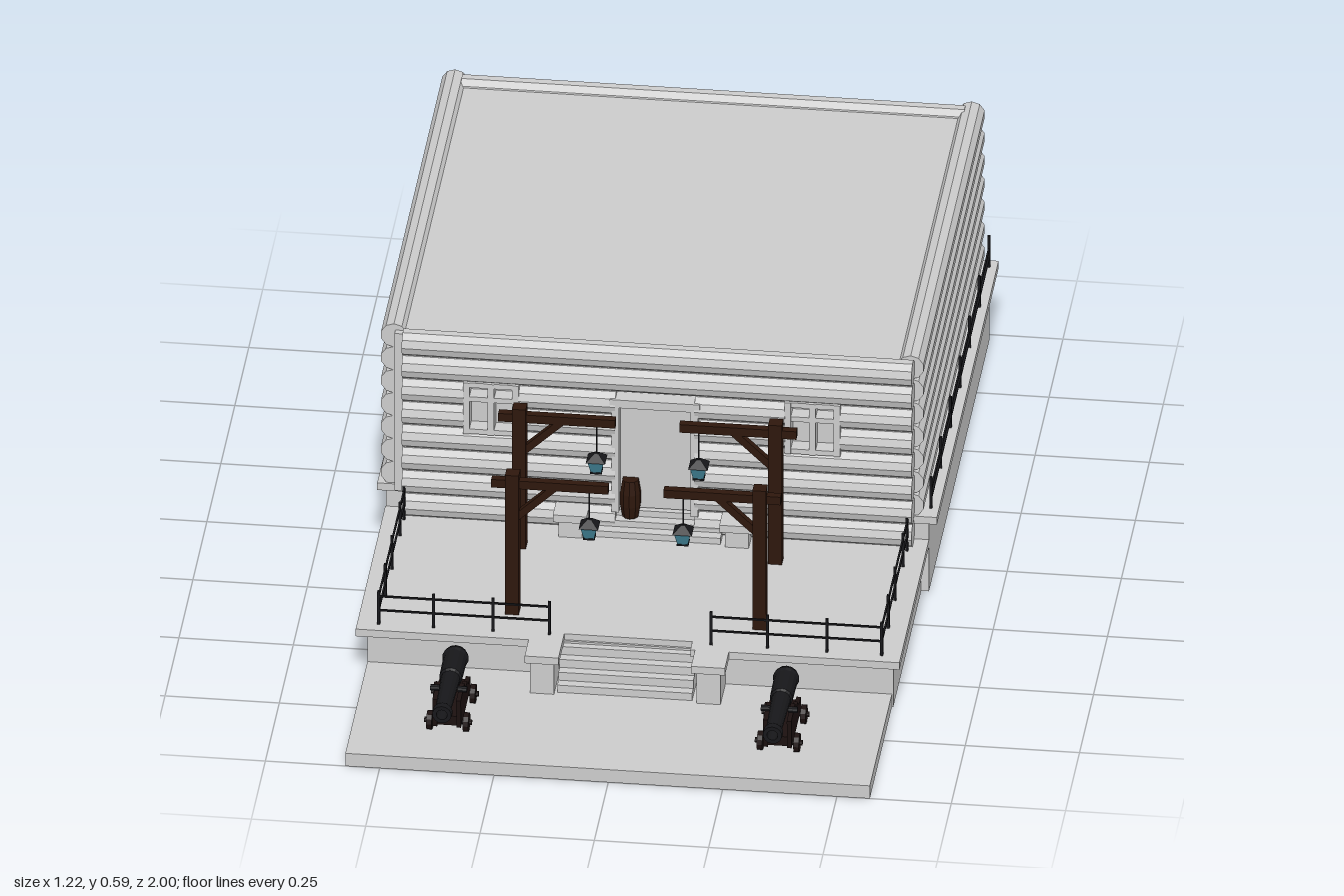
import * as THREE from 'three';

const mat = (color, side = THREE.FrontSide) =>
  new THREE.MeshStandardMaterial({ color, flatShading: true, side });

export function createModel() {
  const model = new THREE.Group();
  const grey = mat(0xcccccc), shell = mat(0xcccccc, THREE.DoubleSide);
  const wood = mat(0x2e170c), iron = mat(0x17171a), carriageWood = mat(0x1c1110), glass = mat(0x3f7f92);

  function add(parent, name, geometry, material, x = 0, y = 0, z = 0) {
    const mesh = new THREE.Mesh(geometry, material);
    mesh.name = name;
    mesh.position.set(x, y, z);
    parent.add(mesh);
    return mesh;
  }
  // box given by its limits on each axis
  function block(parent, name, material, x0, x1, y0, y1, z0, z1) {
    return add(parent, name, new THREE.BoxGeometry(x1 - x0, y1 - y0, z1 - z0), material,
      (x0 + x1) / 2, (y0 + y1) / 2, (z0 + z1) / 2);
  }
  // box without its bottom face, hollow underneath
  function hollow(name, ...limits) {
    const mesh = block(model, name, shell, ...limits);
    const index = Array.from(mesh.geometry.index.array);
    index.splice(18, 6);
    mesh.geometry.setIndex(index);
  }
  function group(parent, name, x = 0, y = 0, z = 0) {
    const g = new THREE.Group();
    g.name = name;
    g.position.set(x, y, z);
    parent.add(g);
    return g;
  }

  // foundations, with overhanging ledges
  hollow('houseBase', -0.595, 0.592, 0, 0.18, -0.978, 0.105);
  block(model, 'houseLedge', grey, -0.614, 0.61, 0.172, 0.19, -0.995, 0.11);
  hollow('porchBase', -0.575, 0.575, 0, 0.115, 0.105, 0.605);
  block(model, 'porchFloor', grey, -0.597, 0.592, 0.112, 0.13, 0.105, 0.6);
  hollow('forecourt', -0.575, 0.572, 0, 0.032, 0.605, 1);
  block(model, 'porchLedge', grey, -0.597, -0.145, 0.112, 0.13, 0.6, 0.635);
  block(model, 'porchLedge', grey, 0.135, 0.592, 0.112, 0.13, 0.6, 0.635);

  // two flights of steps between low cheek walls
  function stairs(name, count, y0, y1, z0, z1) {
    const flight = group(model, name);
    for (let i = 0; i < count; i++) {
      const top = y0 + (y1 - y0) * (i + 1) / (count + 1);
      block(flight, 'step', grey, -0.15, 0.145, y0 - 0.005, top, z0, z1 - (z1 - z0) * i / count);
    }
    for (const s of [-1, 1]) {
      const c = 0.182 * s;
      block(flight, 'cheekWall', grey, c - 0.026, c + 0.026, y0 - 0.03, y1 - 0.018, z0, z1 + 0.01);
      block(flight, 'cheekCap', grey, c - 0.037, c + 0.037, y1 - 0.018, y1, z0, z1 + 0.02);
    }
  }
  stairs('frontSteps', 4, 0.03, 0.13, 0.6, 0.685);
  stairs('doorSteps', 3, 0.13, 0.19, 0.11, 0.18);

  // log walls around a flat-roofed core
  const house = group(model, 'logHouse');
  block(house, 'roofAndCore', grey, -0.575, 0.55, 0.18, 0.575, -0.965, 0.12);
  const radius = 0.0295, pitch = 0.0577;
  function log(axis, from, to, x, y, z) {
    const geo = new THREE.CylinderGeometry(radius, radius, to - from, 10);
    if (axis === 'x') geo.rotateZ(Math.PI / 2); else geo.rotateX(Math.PI / 2);
    const mid = (from + to) / 2;
    add(house, 'log', geo, grey, axis === 'x' ? mid : x, y, axis === 'z' ? mid : z);
  }
  const openings = [[-0.42, -0.3, 0.355, 0.485], [-0.088, 0.085, 0.13, 0.45], [0.283, 0.403, 0.355, 0.485]];
  for (let i = 0; i < 8; i++) {
    const y = 0.561 - i * pitch;
    let start = -0.555;
    for (const [x0, x1, y0, y1] of openings) {
      if (y < y0 || y > y1) continue;
      log('x', start, x0, 0, y, 0.129);
      start = x1;
    }
    log('x', start, 0.56, 0, y, 0.129);
    if (i === 7) continue;
    log('x', -0.56, 0.54, 0, y, -0.965);
    log('z', -0.99, 0.105, -0.578, y, 0);
    log('z', -0.99, 0.105, 0.552, y, 0);
  }

  // window frames with a mullion and crossbar
  for (const [x, y0, y1] of [[-0.36, 0.355, 0.483], [0.343, 0.355, 0.483]]) {
    const win = group(house, 'window');
    for (const dx of [-0.054, 0, 0.054])
      block(win, 'upright', grey, x + dx - 0.007, x + dx + 0.007, y0, y1, 0.11, 0.157);
    for (const y of [y0 + 0.006, 0.442, y1 - 0.006])
      block(win, 'crossbar', grey, x - 0.06, x + 0.06, y - 0.006, y + 0.006, 0.11, 0.155);
  }
  // doorway
  const door = group(house, 'doorway');
  block(door, 'doorPanel', grey, -0.088, 0.085, 0.18, 0.45, 0.11, 0.128);
  block(door, 'lintel', grey, -0.1, 0.097, 0.444, 0.464, 0.11, 0.157);
  for (const x of [-0.088, 0.085]) block(door, 'jamb', grey, x - 0.008, x + 0.008, 0.18, 0.45, 0.11, 0.155);
  const cask = [[0, 0], [0.018, 0], [0.023, 0.03], [0.023, 0.06], [0.018, 0.092], [0, 0.092]];
  add(model, 'cask', new THREE.LatheGeometry(cask.map(p => new THREE.Vector2(...p)), 10), wood, -0.057, 0.163, 0.135);

  // iron railings: posts at given points joined by two rails
  function railing(name, points, floor, height, railHeights) {
    const rail = group(model, name);
    points.forEach(([x, z], i) => {
      block(rail, 'railPost', iron, x - 0.003, x + 0.003, floor, floor + height, z - 0.003, z + 0.003);
      if (!i) return;
      const [px, pz] = points[i - 1];
      for (const h of railHeights)
        block(rail, 'rail', iron, Math.min(x, px) - 0.002, Math.max(x, px) + 0.002,
          floor + h - 0.002, floor + h + 0.002, Math.min(z, pz) - 0.002, Math.max(z, pz) + 0.002);
    });
  }
  for (const s of [-1, 1]) {
    const x = s * 0.55;
    railing('porchRailing', [[x, 0.157], [x, 0.225], [x, 0.37], [x, 0.49], [x, 0.607],
      [s * 0.43, 0.607], [s * 0.3, 0.607], [s * 0.177, 0.607]], 0.13, 0.083, [0.07, 0.035]);
  }
  const sidePosts = Array.from({ length: 7 }, (_, i) => [0.592, 0.07 - i * 0.173]);
  railing('sideRailing', sidePosts, 0.19, 0.078, [0.045, 0.022]);

  // lantern posts; s is the direction the arm reaches
  function lanternPost(x, z, s) {
    const post = group(model, 'lanternPost', x, 0.13, z);
    block(post, 'post', wood, -0.015, 0.015, 0, 0.35, -0.015, 0.015);
    const arm = block(post, 'arm', wood, -0.128, 0.128, 0.314, 0.334, -0.009, 0.009);
    arm.position.x = s * 0.082;
    const brace = add(post, 'brace', new THREE.BoxGeometry(0.11, 0.016, 0.016), wood, s * 0.05, 0.28, 0);
    brace.rotation.z = s * 0.76;
    const lantern = group(post, 'lantern', s * 0.168, 0, 0);
    block(lantern, 'chain', iron, -0.0015, 0.0015, 0.24, 0.316, -0.0015, 0.0015);
    const turn = g => g.rotateY(Math.PI / 4);
    add(lantern, 'glass', turn(new THREE.CylinderGeometry(0.025, 0.016, 0.028, 4)), glass, 0, 0.215, 0);
    add(lantern, 'cap', turn(new THREE.CylinderGeometry(0.006, 0.03, 0.016, 4)), iron, 0, 0.237, 0);
    add(lantern, 'foot', turn(new THREE.CylinderGeometry(0.018, 0.018, 0.004, 4)), iron, 0, 0.2, 0);
  }
  lanternPost(-0.287, 0.236, 1);
  lanternPost(-0.268, 0.518, 1);
  lanternPost(0.273, 0.236, -1);
  lanternPost(0.273, 0.518, -1);

  // cannons with muzzles to the front
  const barrel = [[0, 0], [0.008, 0.003], [0.009, 0.012], [0.006, 0.018], [0.026, 0.024], [0.029, 0.034],
    [0.026, 0.042], [0.025, 0.12], [0.021, 0.125], [0.017, 0.255], [0.022, 0.265], [0.021, 0.28],
    [0.012, 0.28], [0.011, 0.2], [0, 0.2]].map(p => new THREE.Vector2(...p));
  for (const x of [-0.366, 0.357]) {
    const cannon = group(model, 'cannon', x, 0.032, 0.705);
    const gun = new THREE.LatheGeometry(barrel, 14);
    gun.rotateX(Math.PI / 2);
    add(cannon, 'barrel', gun, iron, 0, 0.103, 0);
    block(cannon, 'carriageBed', carriageWood, -0.022, 0.022, 0.022, 0.045, 0.025, 0.185);
    // stepped cheeks
    const cheek = new THREE.Shape([[0.02, 0.02], [0.19, 0.02], [0.195, 0.09], [0.125, 0.095], [0.115, 0.075],
      [0.075, 0.07], [0.065, 0.055], [0.02, 0.05]].map(p => new THREE.Vector2(...p)));
    for (const s of [-1, 1]) {
      const geo = new THREE.ExtrudeGeometry(cheek, { depth: 0.01, bevelEnabled: false });
      geo.rotateY(-Math.PI / 2);
      add(cannon, 'carriageCheek', geo, carriageWood, s * 0.026 + 0.005, 0, 0);
      const trunnion = new THREE.CylinderGeometry(0.007, 0.007, 0.02, 8).rotateZ(Math.PI / 2);
      add(cannon, 'trunnion', trunnion, iron, s * 0.03, 0.097, 0.155);
    }
    for (const z of [0.043, 0.165]) {
      const axle = new THREE.CylinderGeometry(0.006, 0.006, 0.104, 8).rotateZ(Math.PI / 2);
      add(cannon, 'axle', axle, carriageWood, 0, 0.021, z);
      for (const s of [-1, 1]) {
        const wheel = new THREE.CylinderGeometry(0.021, 0.021, 0.012, 12).rotateZ(Math.PI / 2);
        add(cannon, 'wheel', wheel, carriageWood, s * 0.04, 0.021, z);
      }
    }
  }
  return model;
}
